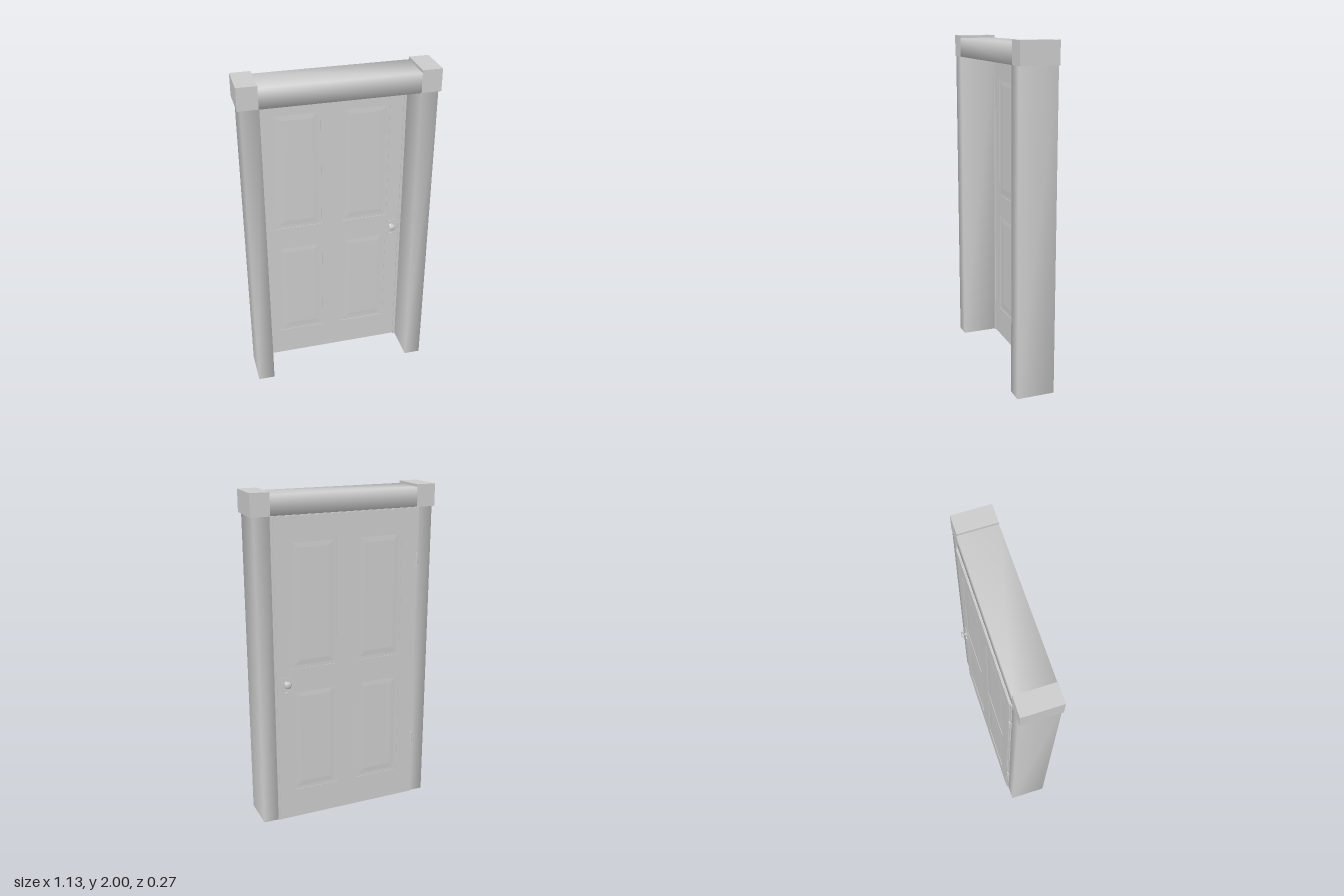
import * as THREE from 'three';
import { mergeVertices } from 'three/addons/utils/BufferGeometryUtils.js';

const mat = new THREE.MeshStandardMaterial({ color: 0xcccccc });
const open = new THREE.MeshStandardMaterial({ color: 0xcccccc, side: THREE.DoubleSide });

function add(parent, name, geo, x = 0, y = 0, z = 0, material = mat) {
  const mesh = new THREE.Mesh(geo, material);
  mesh.name = name;
  mesh.position.set(x, y, z);
  parent.add(mesh);
  return mesh;
}

// box given by its limits on each axis
function block(parent, name, x0, x1, y0, y1, z0, z1) {
  return add(parent, name, new THREE.BoxGeometry(x1 - x0, y1 - y0, z1 - z0),
    (x0 + x1) / 2, (y0 + y1) / 2, (z0 + z1) / 2);
}

// four-sided hollow beam without end caps, smooth over its edges
function beam(w, length, d) {
  let g = new THREE.CylinderGeometry(Math.SQRT1_2, Math.SQRT1_2, 1, 4, 1, true);
  g.rotateY(Math.PI / 4).scale(w, length, d);
  g.deleteAttribute('uv');
  g.deleteAttribute('normal');
  g = mergeVertices(g, 1e-4);
  g.computeVertexNormals();
  return g;
}

function rect(Type, x0, x1, y0, y1) {
  const p = new Type();
  p.moveTo(x0, y0).lineTo(x1, y0).lineTo(x1, y1).lineTo(x0, y1).closePath();
  return p;
}

const BACK = -0.09, FRONT = 0.135, DEPTH = FRONT - BACK, MID = (FRONT + BACK) / 2;
const LEAF_BACK = -0.102, LEAF_FRONT = -0.088;

function makeFrame() {
  const frame = new THREE.Group();
  frame.name = 'doorFrame';
  for (const s of [-1, 1]) {
    add(frame, 'jamb', beam(0.1, 1.87, DEPTH), s * 0.497, 0.935, MID, open);
    add(frame, 'cornerBlock', new THREE.BoxGeometry(0.115, 0.13, DEPTH), s * 0.5075, 1.935, MID);
    // thin stop beside the leaf
    block(frame, 'sideStop', s > 0 ? 0.432 : -0.46, s > 0 ? 0.455 : -0.432, 0, 1.872, -0.097, -0.083);
  }
  const header = beam(0.115, 0.9, DEPTH).rotateZ(Math.PI / 2);
  add(frame, 'header', header, 0, 1.9275, MID, open);
  block(frame, 'topStop', -0.45, 0.45, 1.85, 1.872, -0.097, -0.083);
  return frame;
}

function makeLeaf() {
  const leaf = new THREE.Group();
  leaf.name = 'doorLeaf';
  const shape = rect(THREE.Shape, -0.447, 0.443, 0.004, 1.868);
  const panels = [];
  for (const [x0, x1] of [[-0.35, -0.065], [0.065, 0.35]])
    for (const [y0, y1] of [[0.19, 0.85], [0.98, 1.74]]) panels.push([x0, x1, y0, y1]);
  for (const p of panels) shape.holes.push(rect(THREE.Path, ...p));
  const slab = new THREE.ExtrudeGeometry(shape, { depth: LEAF_FRONT - LEAF_BACK, bevelEnabled: false });
  add(leaf, 'stilesAndRails', slab, 0, 0, LEAF_BACK);

  // sunk panels with a raised, bevelled field
  for (const [x0, x1, y0, y1] of panels) {
    block(leaf, 'panel', x0, x1, y0, y1, LEAF_BACK + 0.003, LEAF_FRONT - 0.003);
    const field = new THREE.ExtrudeGeometry(rect(THREE.Shape, x0 + 0.05, x1 - 0.05, y0 + 0.05, y1 - 0.05),
      { depth: 0.008, bevelThickness: 0.002, bevelSize: 0.03, bevelSegments: 1 });
    add(leaf, 'panelField', field, 0, 0, LEAF_BACK + 0.003);
  }
  return leaf;
}

// plate, knob and lock cylinder, pointing along +z
function makeHandle() {
  const handle = new THREE.Group();
  handle.name = 'handle';
  block(handle, 'plate', -0.028, 0.028, 0.79, 0.935, -0.002, 0.003);
  const profile = [[0, 0], [0.019, 0.002], [0.017, 0.006], [0.009, 0.009], [0.008, 0.017], [0.014, 0.021],
    [0.021, 0.025], [0.022, 0.029], [0.018, 0.034], [0.009, 0.037], [0, 0.038]];
  const knob = new THREE.LatheGeometry(profile.map(([r, h]) => new THREE.Vector2(r, h)), 24);
  add(handle, 'knob', knob.rotateX(Math.PI / 2), 0, 0.895, 0);
  const lock = new THREE.CylinderGeometry(0.011, 0.013, 0.008, 20).rotateX(Math.PI / 2);
  add(handle, 'lockCylinder', lock, 0, 0.833, 0.004);
  block(handle, 'keyTurn', -0.002, 0.002, 0.826, 0.84, 0.007, 0.009);
  return handle;
}

export function createModel() {
  const model = new THREE.Group();
  model.name = 'door';
  model.add(makeFrame(), makeLeaf());

  const backHandle = makeHandle();
  backHandle.rotation.y = Math.PI;
  backHandle.position.set(0.385, 0, LEAF_BACK);
  const frontHandle = makeHandle();
  frontHandle.position.set(0.385, 0, LEAF_FRONT);
  model.add(backHandle, frontHandle);

  // hinges on the side away from the handle
  for (const y of [0.39, 1.55]) {
    add(model, 'hingePin', new THREE.CylinderGeometry(0.006, 0.006, 0.09, 12), -0.453, y, -0.098);
    block(model, 'hingePlate', -0.465, -0.44, y - 0.04, y + 0.04, -0.098, -0.088);
  }
  return model;
}
